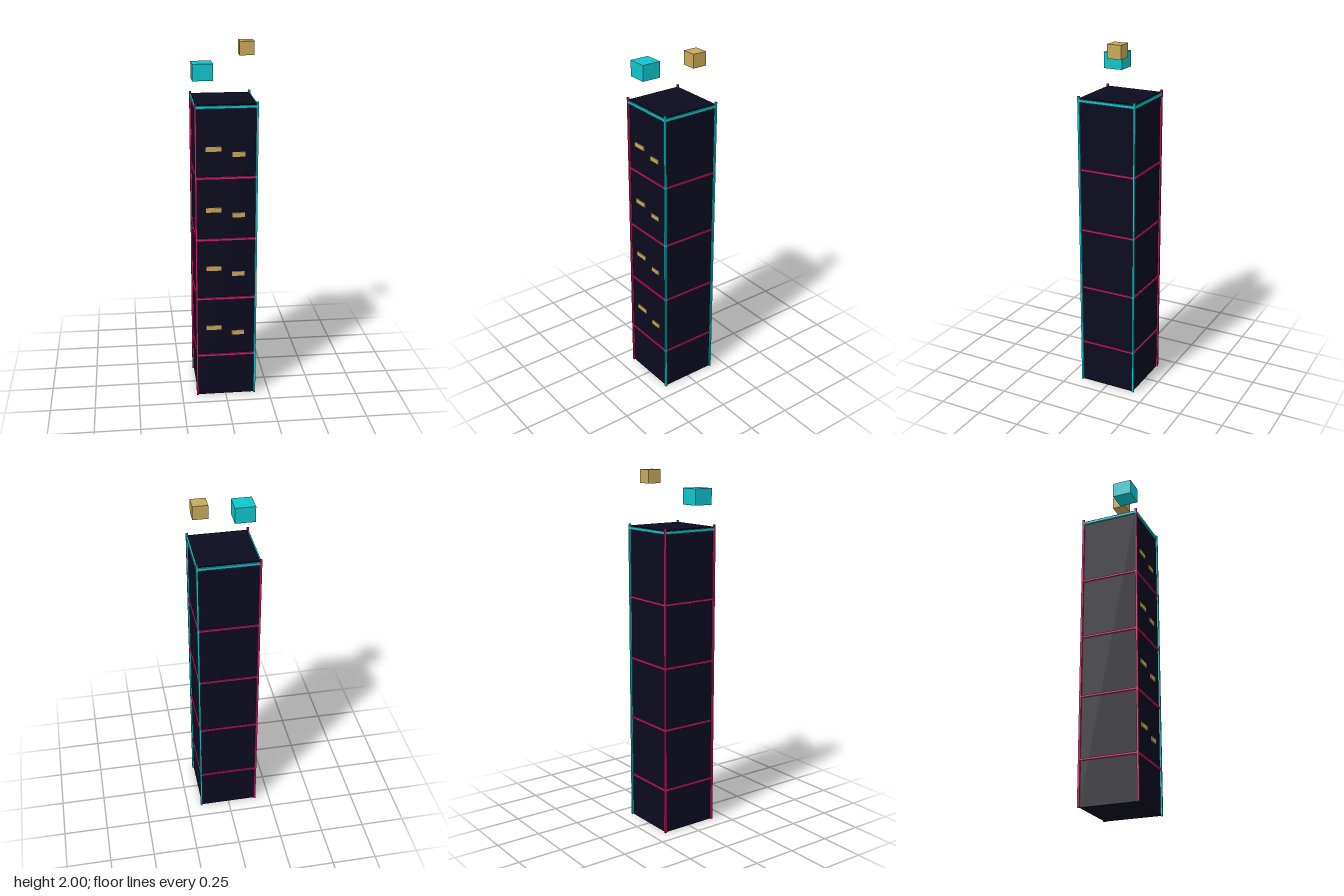
import * as THREE from 'three';

const paint = (name, color) => {
  const m = new THREE.MeshStandardMaterial({ color });
  m.name = name;
  return m;
};

export function createModel() {
  const navy = paint('dark navy', 0x0b0b1f);
  const cyan = paint('cyan', 0x0fc5cd);
  const pink = paint('pink', 0xd01c68);
  const gold = paint('gold', 0xc8a85a);

  const model = new THREE.Group();
  model.name = 'neonTower';

  const box = (parent, name, material, size, position) => {
    const mesh = new THREE.Mesh(new THREE.BoxGeometry(...size), material);
    mesh.name = name;
    mesh.position.set(...position);
    parent.add(mesh);
    return mesh;
  };

  // Tower stands slightly off the centre of the whole model
  const tower = new THREE.Group();
  tower.name = 'tower';
  tower.position.set(0.002, 0, -0.002);
  model.add(tower);

  const H = 0.161; // half width of the body
  const OUT = 0.17; // half width over the trim
  box(tower, 'body', navy, [2 * H, 1.7, 2 * H], [0, 0.85, 0]);

  // Four-sided ring of strips standing proud of the walls
  const ring = (name, material, y, height, out) => {
    const group = new THREE.Group();
    group.name = name;
    tower.add(group);
    const depth = out - H;
    const mid = (out + H) / 2;
    for (const s of [-1, 1]) {
      box(group, 'wallStripX', material, [2 * H, height, depth], [0, y, s * mid]);
      box(group, 'wallStripZ', material, [depth, height, 2 * H], [s * mid, y, 0]);
    }
  };
  [0.252, 0.602, 0.952, 1.302].forEach((y) => ring('floorBand', pink, y, 0.011, 0.168));
  ring('roofTrim', cyan, 1.686, 0.015, 0.1695);

  // Corner poles: pink on the right, cyan on the left
  for (const sx of [-1, 1]) for (const sz of [-1, 1]) {
    box(tower, 'cornerPole', sx < 0 ? pink : cyan, [0.011, 1.71, 0.011],
      [sx * (OUT - 0.0055), 0.855, sz * (OUT - 0.0055)]);
  }

  // Lit windows on the front only
  [[1.461, 1.43], [1.122, 1.09], [0.782, 0.747], [0.422, 0.387]].forEach(([a, b]) => {
    box(tower, 'wideWindow', gold, [0.085, 0.026, 0.006], [-0.068, a, H + 0.002]);
    box(tower, 'narrowWindow', gold, [0.069, 0.026, 0.006], [0.067, b, H + 0.002]);
  });

  // Floating blocks above the roof
  box(model, 'largeFloatingBlock', cyan, [0.11, 0.088, 0.11], [-0.119, 1.863, 0.079]);
  box(model, 'smallFloatingBlock', gold, [0.08, 0.074, 0.08], [0.132, 1.963, -0.051]);

  return model;
}
